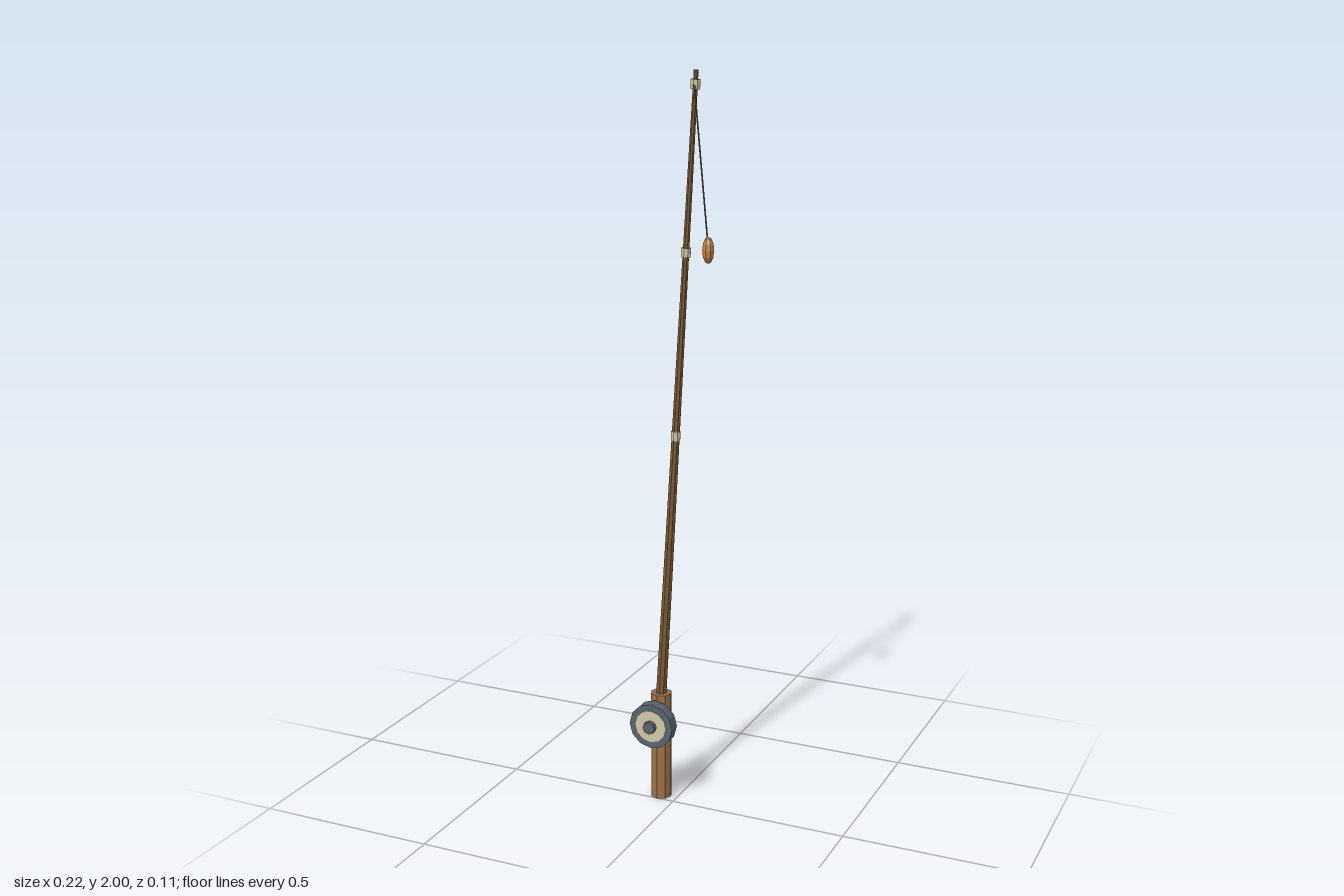
import * as THREE from 'three';

const mat = (color) => new THREE.MeshStandardMaterial({ color, flatShading: true });
const WOOD = mat(0x9c7046);
const ROD = mat(0x7d5a34);
const STEEL = mat(0x55656d);
const CREAM = mat(0xd2c7a6);
const ORANGE = mat(0xc0853f);
const LINE = mat(0x6b675c);
const UP = new THREE.Vector3(0, 1, 0);

export function createModel() {
  const group = new THREE.Group();

  // Tapered cylinder running between two points
  const bar = (name, a, b, rA, rB, sides, material) => {
    const dir = b.clone().sub(a);
    const mesh = new THREE.Mesh(new THREE.CylinderGeometry(rB, rA, dir.length(), sides), material);
    mesh.name = name;
    mesh.position.copy(a).lerp(b, 0.5);
    mesh.quaternion.setFromUnitVectors(UP, dir.normalize());
    group.add(mesh);
    return mesh;
  };
  const v = (x, y, z) => new THREE.Vector3(x, y, z);

  // Handle and leaning rod
  const hx = -0.048, hz = -0.028;
  bar('handle', v(hx, 0, hz), v(hx, 0.31, hz), 0.03, 0.03, 8, WOOD);
  const rodBase = v(-0.049, 0.29, hz), rodTip = v(0.051, 2, hz);
  bar('rod', rodBase, rodTip, 0.0155, 0.0065, 8, ROD);

  // Line guides along the rod
  const rodDir = rodTip.clone().sub(rodBase).normalize();
  for (const y of [1.05, 1.54, 1.965]) {
    const c = rodBase.clone().lerp(rodTip, (y - rodBase.y) / (rodTip.y - rodBase.y));
    bar('lineGuide', c.clone().addScaledVector(rodDir, -0.012),
      c.clone().addScaledVector(rodDir, 0.012), 0.0135, 0.0135, 8, CREAM);
  }

  // Reel: drum, pale face plates and axle along z
  const reel = (name, z0, z1, r, sides, m) =>
    bar(name, v(hx, 0.235, z0), v(hx, 0.235, z1), r, r, sides, m);
  reel('reelDrum', 0.009, 0.042, 0.064, 12, STEEL);
  reel('reelFacePlates', 0.0075, 0.0435, 0.046, 12, CREAM);
  reel('reelAxle', -0.01, 0.057, 0.018, 8, STEEL);

  // Hanging line and float
  bar('fishingLine', v(0.054, 1.965, -0.01), v(0.093, 1.57, -0.01), 0.0022, 0.0022, 5, LINE);
  const float = new THREE.Mesh(new THREE.SphereGeometry(0.0165, 8, 6), ORANGE);
  float.name = 'float';
  float.scale.y = 2.1;
  float.position.set(0.094, 1.552, -0.01);
  group.add(float);

  return group;
}
